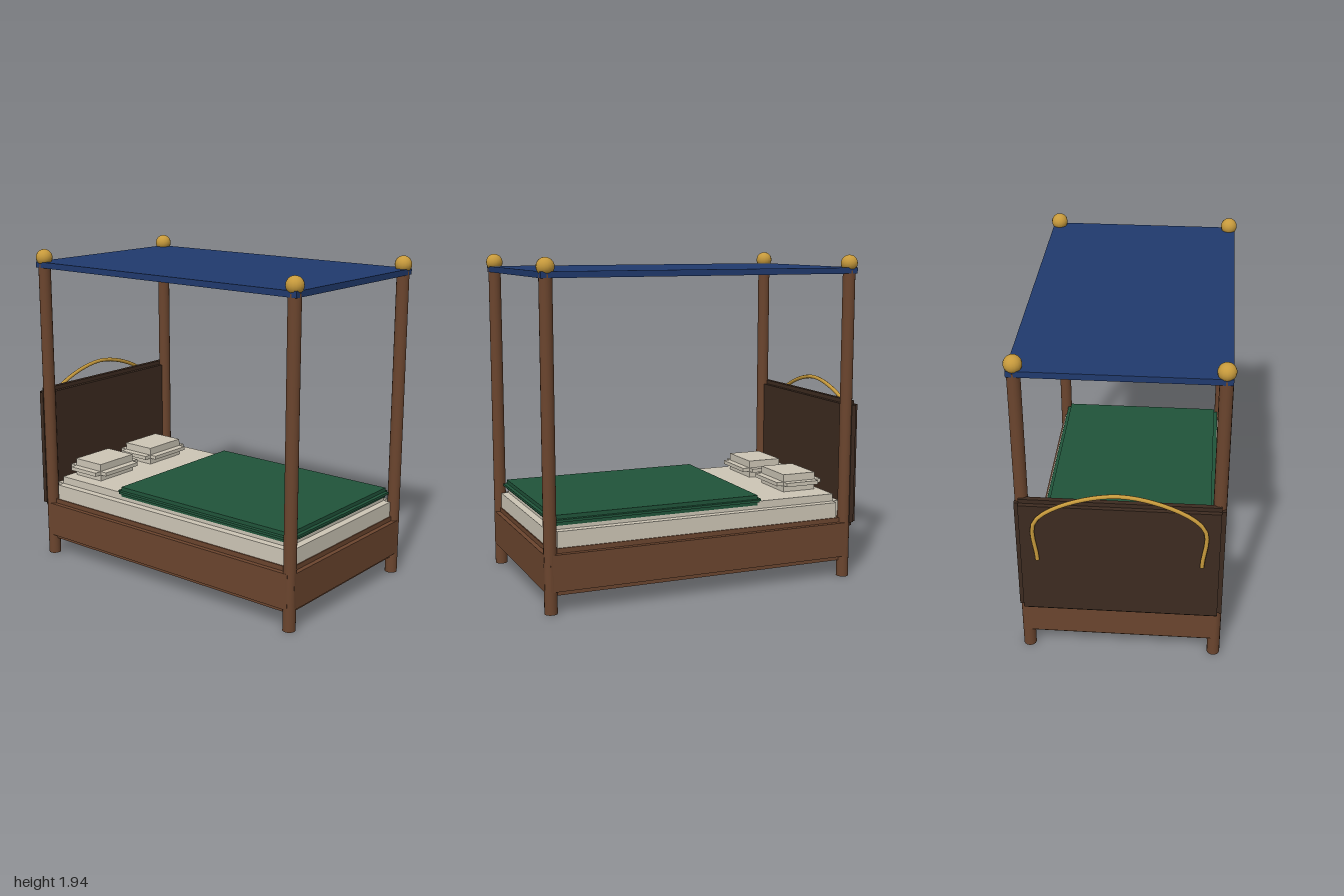
import * as THREE from 'three';

const paint = (name, color, side = THREE.FrontSide) => {
  const m = new THREE.MeshStandardMaterial({ color, side });
  m.name = name;
  return m;
};

export function createModel() {
  const wood = paint('wood', 0x6b452e);
  const darkWood = paint('darkWood', 0x3d2b20);
  const linen = paint('linen', 0xcdc6b6);
  const green = paint('greenCloth', 0x20543a);
  const blue = paint('blueCloth', 0x203a6e);
  const brass = paint('brass', 0xc79a3c, THREE.DoubleSide);

  const model = new THREE.Group();
  model.name = 'canopyBed';

  const add = (parent, name, geometry, material, x = 0, y = 0, z = 0) => {
    const mesh = new THREE.Mesh(geometry, material);
    mesh.name = name;
    mesh.position.set(x, y, z);
    parent.add(mesh);
    return mesh;
  };

  // Block with every edge stepped in by r: three crossing boxes
  const steppedBlock = (name, material, [x0, x1], [y0, y1], [z0, z1], r) => {
    const group = new THREE.Group();
    group.name = name;
    group.position.set((x0 + x1) / 2, (y0 + y1) / 2, (z0 + z1) / 2);
    const size = [x1 - x0, y1 - y0, z1 - z0];
    ['Length', 'Height', 'Depth'].forEach((label, axis) => {
      const s = size.map((v, i) => (i === axis ? v : v - 2 * r));
      add(group, name + label, new THREE.BoxGeometry(...s), material);
    });
    model.add(group);
  };

  // Base, bedding and headboard
  steppedBlock('bedFrame', wood, [-0.936, 0.984], [0.1, 0.365], [-0.576, 0.576], 0.028);
  steppedBlock('mattress', linen, [-0.893, 0.95], [0.3, 0.503], [-0.541, 0.541], 0.045);
  steppedBlock('blanket', green, [-0.36, 0.935], [0.48, 0.54], [-0.522, 0.522], 0.023);
  for (const z of [0.268, -0.192])
    steppedBlock('pillow', linen, [-0.857, -0.551], [0.497, 0.61], [z - 0.19, z + 0.19], 0.045);
  steppedBlock('headboard', darkWood, [-0.973, -0.895], [0.31, 1.077], [-0.576, 0.576], 0.025);

  // Four posts with ball finials
  const postGeometry = new THREE.CylinderGeometry(0.037, 0.037, 1.85, 16);
  const ballGeometry = new THREE.SphereGeometry(0.05, 16, 12);
  for (const x of [-0.9, 0.948]) {
    for (const z of [-0.54, 0.54]) {
      add(model, 'post', postGeometry, wood, x, 0.925, z);
      add(model, 'finial', ballGeometry, brass, x, 1.89, z);
    }
  }

  // Canopy
  add(model, 'canopy', new THREE.BoxGeometry(1.92, 0.035, 1.152), blue, 0.024, 1.848, 0);

  // Brass arch behind the headboard
  const arch = new THREE.CatmullRomCurve3(
    [[0.7, -0.455], [0.97, -0.455], [1.154, 0], [0.97, 0.455], [0.7, 0.455]]
      .map(([y, z]) => new THREE.Vector3(-0.988, y, z)));
  add(model, 'headboardArch', new THREE.TubeGeometry(arch, 32, 0.012, 8), brass);

  return model;
}
